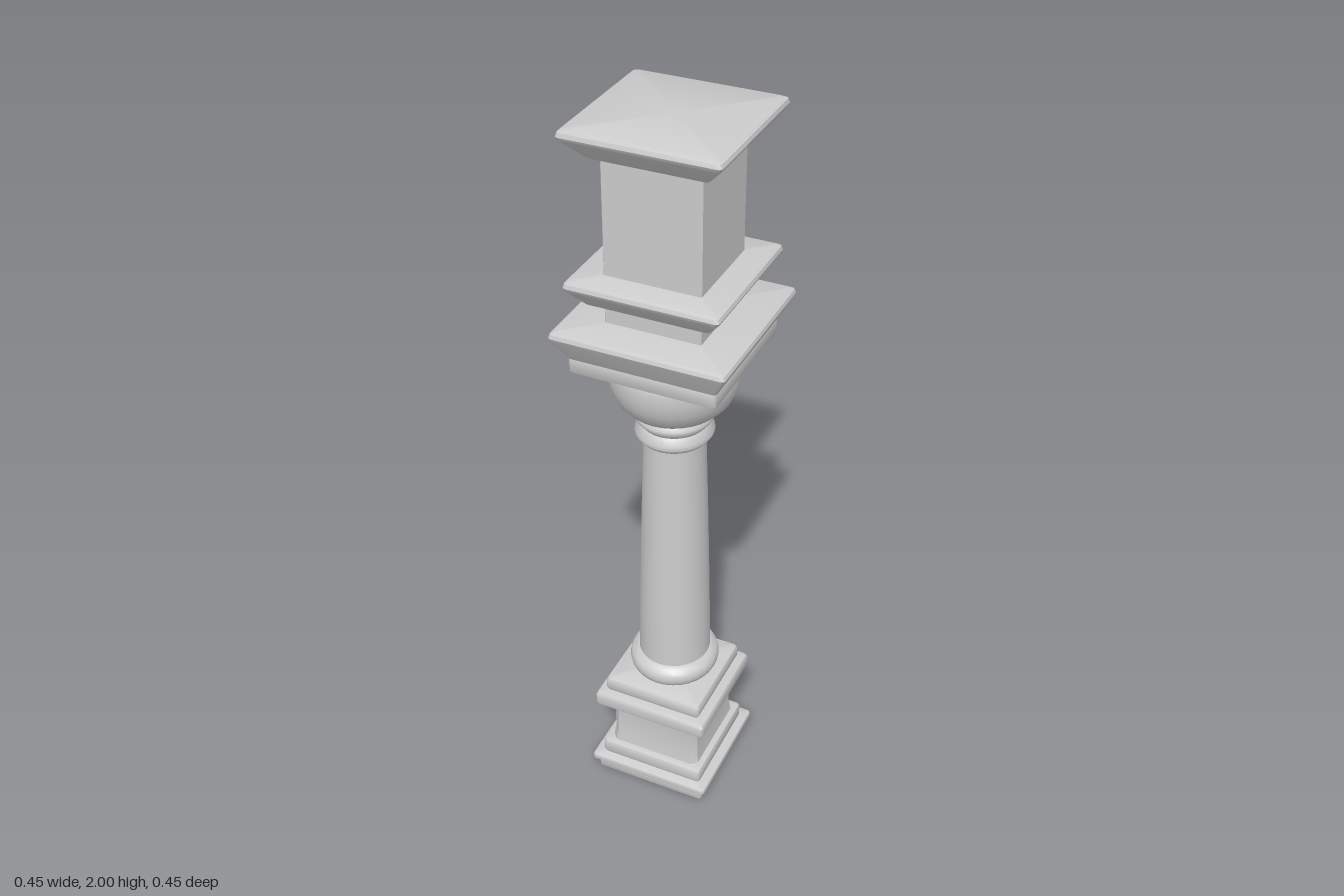
import * as THREE from 'three';
import { toCreasedNormals } from 'three/addons/utils/BufferGeometryUtils.js';

const material = new THREE.MeshStandardMaterial({ color: 0xcccccc });

// Counter-clockwise (seen from above) rounded-square section, half width h
function squareRing(h, y, radius, steps) {
  const ring = [];
  const r = Math.min(radius, h);
  for (let c = 0; c < 4; c++) {
    const mid = Math.PI / 4 + c * Math.PI / 2;
    const cx = Math.sign(Math.cos(mid)) * (h - r);
    const cz = Math.sign(Math.sin(mid)) * (h - r);
    for (let i = 0; i <= steps; i++) {
      const a = c * Math.PI / 2 + i / steps * Math.PI / 2;
      ring.push([cx + r * Math.cos(a), y, cz + r * Math.sin(a)]);
    }
  }
  return ring;
}

// Skin a vertical stack of square sections given as [half width, y]
function squareMoulding(profile, radius = 0.01, steps = 3) {
  const rings = profile.map(([h, y]) => squareRing(h, y, radius, steps));
  const pos = [];
  const tri = (a, b, c) => pos.push(...a, ...b, ...c);
  const n = rings[0].length;
  const last = rings.length - 1;
  const bottom = [0, profile[0][1], 0];
  const top = [0, profile[last][1], 0];
  for (let i = 0; i < n; i++) {
    const j = (i + 1) % n;
    for (let k = 0; k < last; k++) {
      const a = rings[k][i], b = rings[k][j], c = rings[k + 1][j], d = rings[k + 1][i];
      tri(a, d, c);
      tri(a, c, b);
    }
    tri(bottom, rings[0][i], rings[0][j]);
    tri(top, rings[last][j], rings[last][i]);
  }
  const geo = new THREE.BufferGeometry();
  geo.setAttribute('position', new THREE.Float32BufferAttribute(pos, 3));
  return toCreasedNormals(geo, 0.6);
}

// Straight slab with softened top and bottom edges
function slab(half, y0, y1, bevel = 0.008) {
  const q = bevel * 0.3;
  return squareMoulding([
    [half - bevel, y0], [half - q, y0 + q], [half, y0 + bevel],
    [half, y1 - bevel], [half - q, y1 - q], [half - bevel, y1],
  ]);
}

// Slab whose sides splay outward to a rounded upper lip
function flare(low, high, y0, y1) {
  return squareMoulding([
    [low, y0], [high - 0.004, y1 - 0.024], [high, y1 - 0.015],
    [high - 0.003, y1 - 0.005], [high - 0.012, y1],
  ]);
}

// Round part turned about the vertical axis from [radius, y] points
function turned(points, crease = 0.7) {
  const geo = new THREE.LatheGeometry(points.map(([r, y]) => new THREE.Vector2(r, y)), 32);
  return toCreasedNormals(geo, crease);
}

export function createModel() {
  const model = new THREE.Group();
  model.name = 'column';
  const add = (parent, name, geometry) => {
    const mesh = new THREE.Mesh(geometry, material);
    mesh.name = name;
    parent.add(mesh);
  };

  // Square pedestal, sitting slightly forward of the shaft
  const pedestal = new THREE.Group();
  pedestal.name = 'pedestal';
  pedestal.position.set(-0.002, 0, 0.009);
  model.add(pedestal);
  add(pedestal, 'plinth', slab(0.163, 0, 0.037, 0.003));
  add(pedestal, 'plinthLedge', slab(0.177, 0.035, 0.055, 0.006));
  add(pedestal, 'plinthStep', slab(0.152, 0.053, 0.1));
  add(pedestal, 'die', squareMoulding([[0.134, 0.098], [0.129, 0.14], [0.129, 0.21], [0.134, 0.25]], 0.016, 1));
  add(pedestal, 'pedestalCap', squareMoulding([
    [0.15, 0.245], [0.164, 0.256], [0.166, 0.264], [0.166, 0.288], [0.162, 0.296], [0.152, 0.3],
  ]));
  add(pedestal, 'pedestalTopStep', slab(0.143, 0.298, 0.345, 0.012));

  // Round shaft parts, a touch deeper than wide
  const shaft = new THREE.Group();
  shaft.name = 'roundShaft';
  shaft.scale.z = 1.04;
  model.add(shaft);
  const cushion = [];
  for (let i = 0; i <= 10; i++) {
    const a = -Math.PI / 2 + i / 10 * Math.PI;
    cushion.push([0.088 + 0.036 * Math.cos(a), 0.38 + 0.036 * Math.sin(a)]);
  }
  add(shaft, 'baseCushion', turned(cushion));
  add(shaft, 'shaft', turned([[0.099, 0.4], [0.095, 0.62], [0.088, 0.88], [0.08, 1.14]]));
  add(shaft, 'neckRings', turned([
    [0.076, 1.13], [0.09, 1.137], [0.102, 1.153], [0.102, 1.16], [0.086, 1.18],
    [0.1, 1.198], [0.1, 1.206], [0.093, 1.216], [0.086, 1.226],
  ]));
  add(shaft, 'capitalBowl', turned([
    [0.08, 1.22], [0.098, 1.224], [0.125, 1.239], [0.146, 1.262], [0.16, 1.292],
    [0.167, 1.322], [0.168, 1.355], [0.165, 1.372], [0.158, 1.384],
  ]));

  // Square capital and upper post
  const capital = new THREE.Group();
  capital.name = 'capital';
  model.add(capital);
  add(capital, 'abacus', slab(0.193, 1.38, 1.425, 0.005));
  add(capital, 'capitalFlare', flare(0.193, 0.227, 1.42, 1.5));
  add(capital, 'upperPost', squareMoulding([[0.125, 1.495], [0.125, 1.93]], 0.002, 1));
  add(capital, 'middleFlare', flare(0.16, 0.198, 1.56, 1.627));
  add(capital, 'topFlare', flare(0.148, 0.198, 1.925, 2));
  return model;
}
